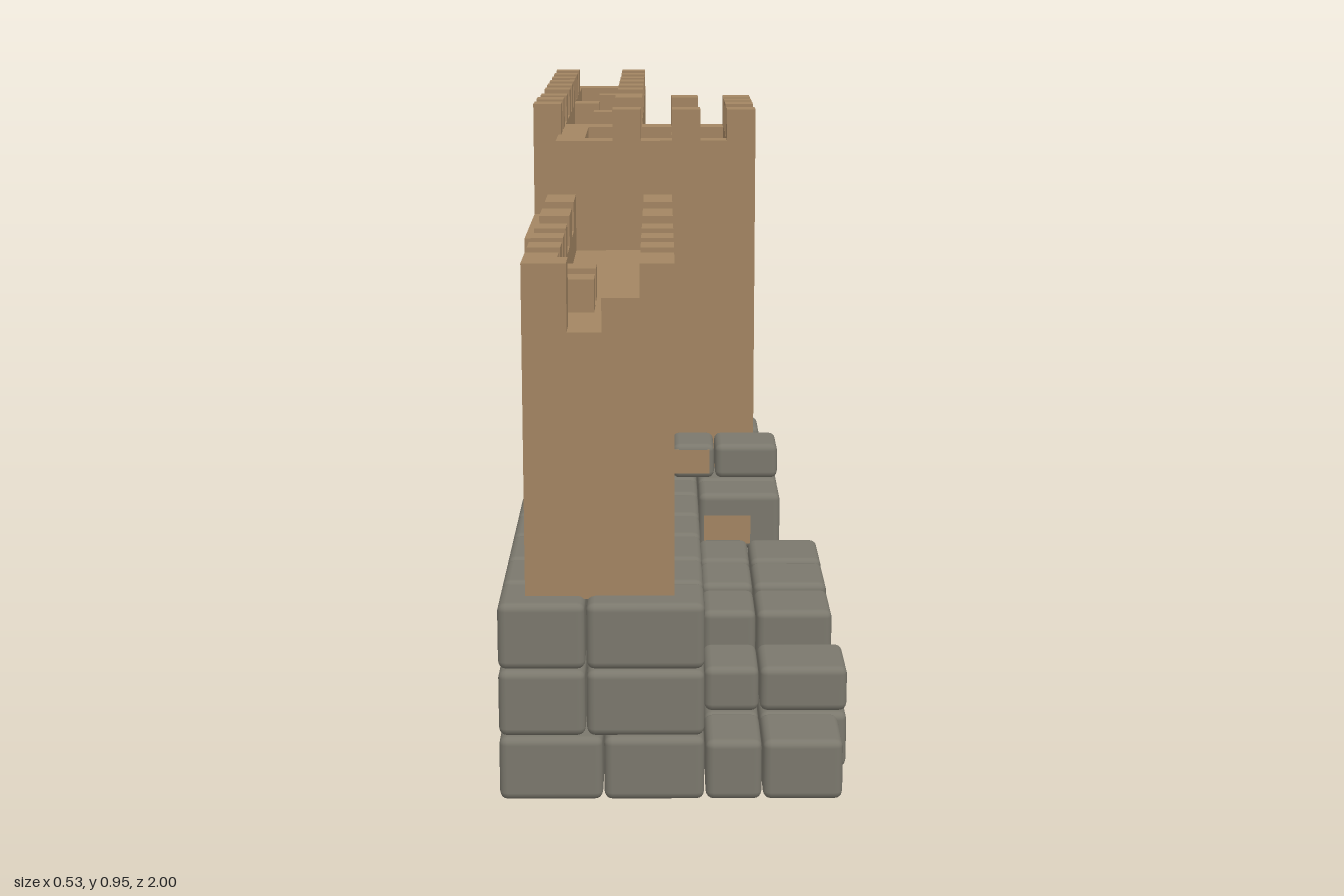
import * as THREE from 'three';
import { RoundedBoxGeometry } from 'three/addons/geometries/RoundedBoxGeometry.js';

const sand = new THREE.MeshStandardMaterial({ color: 0xa38562 });
sand.name = 'sandstone';
const grey = new THREE.MeshStandardMaterial({ color: 0x7b786d });
grey.name = 'greyStone';

// Box given by its limits on each axis; rounded boxes are used for the rocks
function box(parent, name, mat, [x0, x1], [y0, y1], [z0, z1], rounded = false) {
  const w = x1 - x0, h = y1 - y0, d = z1 - z0;
  const geo = rounded
    ? new RoundedBoxGeometry(w - 0.002, h - 0.002, d - 0.002, 2, 0.012)
    : new THREE.BoxGeometry(w, h, d);
  const mesh = new THREE.Mesh(geo, mat);
  mesh.name = name;
  mesh.position.set((x0 + x1) / 2, (y0 + y1) / 2, (z0 + z1) / 2);
  parent.add(mesh);
  return mesh;
}

function group(parent, name) {
  const g = new THREE.Group();
  g.name = name;
  parent.add(g);
  return g;
}

function seeded(seed) {
  return () => (seed = (seed * 16807) % 2147483647) / 2147483647;
}

// Low blocks scattered along a walkway
function rubble(parent, xs, zs, y, seed) {
  const rnd = seeded(seed);
  for (let z = zs[0]; z < zs[1] - 0.05; z += 0.1) {
    if (rnd() < 0.45) continue;
    const x = rnd() < 0.5 ? xs[0] : xs[1] - 0.05;
    box(parent, 'walkwayBlock', sand, [x, x + 0.05], [y, y + 0.05], [z, z + 0.05]);
  }
}

// Wall with a sunken walkway, a parapet on each long edge and merlons
function wall(parent, name, xs, [y0, top], zs, merlons) {
  const g = group(parent, name);
  const floor = top - 0.05;
  box(g, 'wallBody', sand, xs, [y0, floor], zs);
  for (const ex of [[xs[0], xs[0] + 0.05], [xs[1] - 0.05, xs[1]]]) {
    box(g, 'parapet', sand, ex, [floor, top], zs);
    for (const mz of merlons) box(g, 'merlon', sand, ex, [top, top + 0.05], mz);
  }
  return g;
}

export function createModel() {
  const model = group(new THREE.Group(), 'castleWall');
  model.removeFromParent();

  // Front wall
  const front = wall(model, 'frontWall', [-0.22, 0], [0.3, 0.75], [0.19, 0.957],
    [[0.855, 0.957], [0.755, 0.81], [0.66, 0.715], [0.56, 0.615], [0.38, 0.47], [0.2, 0.3]]);
  box(front, 'endParapet', sand, [-0.17, -0.155], [0.7, 0.75], [0.9, 0.957]);
  box(front, 'endMerlon', sand, [-0.17, -0.155], [0.75, 0.8], [0.9, 0.957]);
  box(front, 'endParapet', sand, [-0.105, -0.05], [0.7, 0.75], [0.86, 0.957]);
  rubble(front, [-0.17, -0.05], [0.25, 0.8], 0.7, 11);
  box(front, 'sideButtress', sand, [-0.25, -0.205], [0.3, 0.75], [0.09, 0.386]);

  // Rear wall
  const rear = wall(model, 'rearWall', [-0.25, -0.055], [0.42, 0.895], [-1, -0.095],
    [-0.2, -0.34, -0.445, -0.54, -0.635, -0.73, -0.835].map(z => [z, z + 0.05]));
  box(rear, 'endParapet', sand, [-0.2, -0.105], [0.845, 0.895], [-1, -0.95]);
  rubble(rear, [-0.2, -0.105], [-0.9, -0.15], 0.845, 29);
  box(rear, 'wallReturn', sand, [-0.25, -0.2], [0.42, 0.895], [-0.1, 0.09]);
  box(rear, 'returnMerlon', sand, [-0.25, -0.2], [0.895, 0.95], [-0.06, -0.01]);
  box(rear, 'returnMerlon', sand, [-0.25, -0.2], [0.895, 0.95], [0.04, 0.09]);
  box(rear, 'pilaster', sand, [-0.06, -0.03], [0.65, 0.89], [-0.15, -0.1]);

  // Tower
  const tower = group(model, 'tower');
  box(tower, 'towerBody', sand, [-0.205, 0.147], [0.3, 0.845], [-0.1, 0.198]);
  for (const z of [-0.1, 0.148]) {
    box(tower, 'towerParapet', sand, [-0.205, 0.147], [0.845, 0.895], [z, z + 0.05]);
    for (const x of [-0.105, 0, 0.097])
      box(tower, 'towerMerlon', sand, [x, x + 0.05], [0.895, 0.95], [z, z + 0.05]);
  }
  for (const x of [-0.205, 0.097]) {
    box(tower, 'towerParapet', sand, [x, x + 0.05], [0.845, 0.895], [-0.05, 0.148]);
    if (x > 0) for (const z of [-0.03, 0.042])
      box(tower, 'towerMerlon', sand, [x, x + 0.05], [0.895, 0.95], [z, z + 0.05]);
  }
  rubble(tower, [-0.1, 0.05], [-0.05, 0.14], 0.845, 5);

  // Three courses of foundation stones
  const base = group(model, 'foundation');
  const cuts = [
    [1, 0.89, 0.76, 0.65, 0.52, 0.39, 0.29, 0.19, 0, -0.1, -0.22, -0.35, -0.48, -0.58, -0.7, -0.88, -1],
    [1, 0.87, 0.76, 0.65, 0.5, 0.39, 0.29, 0.19, 0.08, -0.1, -0.2, -0.36, -0.5, -0.6, -0.7, -0.88, -1],
    [1, 0.89, 0.77, 0.64, 0.52, 0.39, 0.29, 0.19, 0, -0.1, -0.2, -0.38, -0.54, -0.66, -0.76, -0.88, -1]];
  const courses = [[0, 0.1], [0.1, 0.203], [0.203, 0.306]];
  const edgeAt = z => z > -0.2 || z < -0.88 ? 0.045 : z < -0.7 ? 0.065 : z < -0.6 ? 0.078 : 0.09;
  courses.forEach((ys, r) => {
    const split = r ? -0.13 : -0.105;
    for (let i = 0; i < cuts[r].length - 1; i++) {
      const zs = [cuts[r][i + 1], cuts[r][i]];
      const edge = edgeAt((zs[0] + zs[1]) / 2);
      box(base, 'foundationStone', grey, [-0.26, split], ys, zs, true);
      box(base, 'foundationStone', grey, [split, edge], ys, zs, true);
    }
  });

  // Stepped rocks along the left side: z limits, outer x, course heights
  const steps = [
    [[0.88, 1], 0.25, [0, 0.095]],
    [[0.76, 0.88], 0.265, [0, 0.092, 0.165]],
    [[0.64, 0.76], 0.25, [0, 0.1, 0.215]],
    [[0.515, 0.64], 0.25, [0, 0.1, 0.222]],
    [[0.39, 0.515], 0.25, [0, 0.1, 0.225]],
    [[0.29, 0.39], 0.187, [0, 0.1, 0.203, 0.304]],
    [[0.19, 0.29], 0.187, [0, 0.1, 0.203, 0.304]],
    [[0, 0.19], 0.165, [0, 0.1, 0.203, 0.304]],
    [[-0.1, 0], 0.165, [0, 0.1, 0.203, 0.304]],
    [[-0.2, -0.1], 0.172, [0, 0.1, 0.203, 0.304]],
    [[-0.355, -0.2], 0.16, [0.1, 0.203]]];
  const rocks = group(model, 'steppedRocks');
  for (const [zs, x1, ys] of steps)
    for (let i = 0; i < ys.length - 1; i++) {
      const xs = x1 > 0.2 ? [0.045, 0.13, x1] : [0.045, x1];
      for (let j = 0; j < xs.length - 1; j++)
        box(rocks, 'steppedRock', grey, [xs[j], xs[j + 1]], [ys[i], ys[i + 1]], zs, true);
    }
  box(rocks, 'topRock', grey, [0, 0.075], [0.304, 0.368], [0.19, 0.295], true);
  box(rocks, 'topRock', grey, [0.075, 0.187], [0.304, 0.368], [0.19, 0.295], true);

  // Sand coloured patches on the rocks
  box(rocks, 'sandPatch', sand, [0.004, 0.066], [0.315, 0.358], [0.291, 0.296]);
  box(rocks, 'sandPatch', sand, [0.055, 0.135], [0.215, 0.265], [0.386, 0.391]);
  box(rocks, 'sandPatch', sand, [0.086, 0.091], [0.215, 0.285], [-0.3, -0.265]);

  // Fourth course below the rear wall, sand on the right and grey on the left
  const ledge = group(model, 'rearLedge');
  const ledgeCuts = [-0.19, -0.37, -0.54, -0.7, -0.87];
  for (let i = 0; i < 4; i++) {
    const zs = [ledgeCuts[i + 1], ledgeCuts[i]];
    const edge = edgeAt((zs[0] + zs[1]) / 2);
    box(ledge, 'ledgeStone', i ? sand : grey, [-0.265, -0.04], [0.306, 0.42], zs, true);
    box(ledge, 'ledgeStone', grey, [-0.04, edge], [0.306, 0.42], zs, true);
  }
  box(ledge, 'sandPatch', sand, [-0.03, 0.05], [0.318, 0.408], [-0.193, -0.188]);
  box(ledge, 'sandPatch', sand, [0.086, 0.091], [0.33, 0.41], [-0.265, -0.205]);

  // Fifth course against the rear wall
  for (const zs of [[-0.495, -0.39], [-0.595, -0.495], [-0.685, -0.595]])
    box(ledge, 'upperStone', grey, [-0.065, 0.075], [0.418, 0.513], zs, true);

  return model;
}
